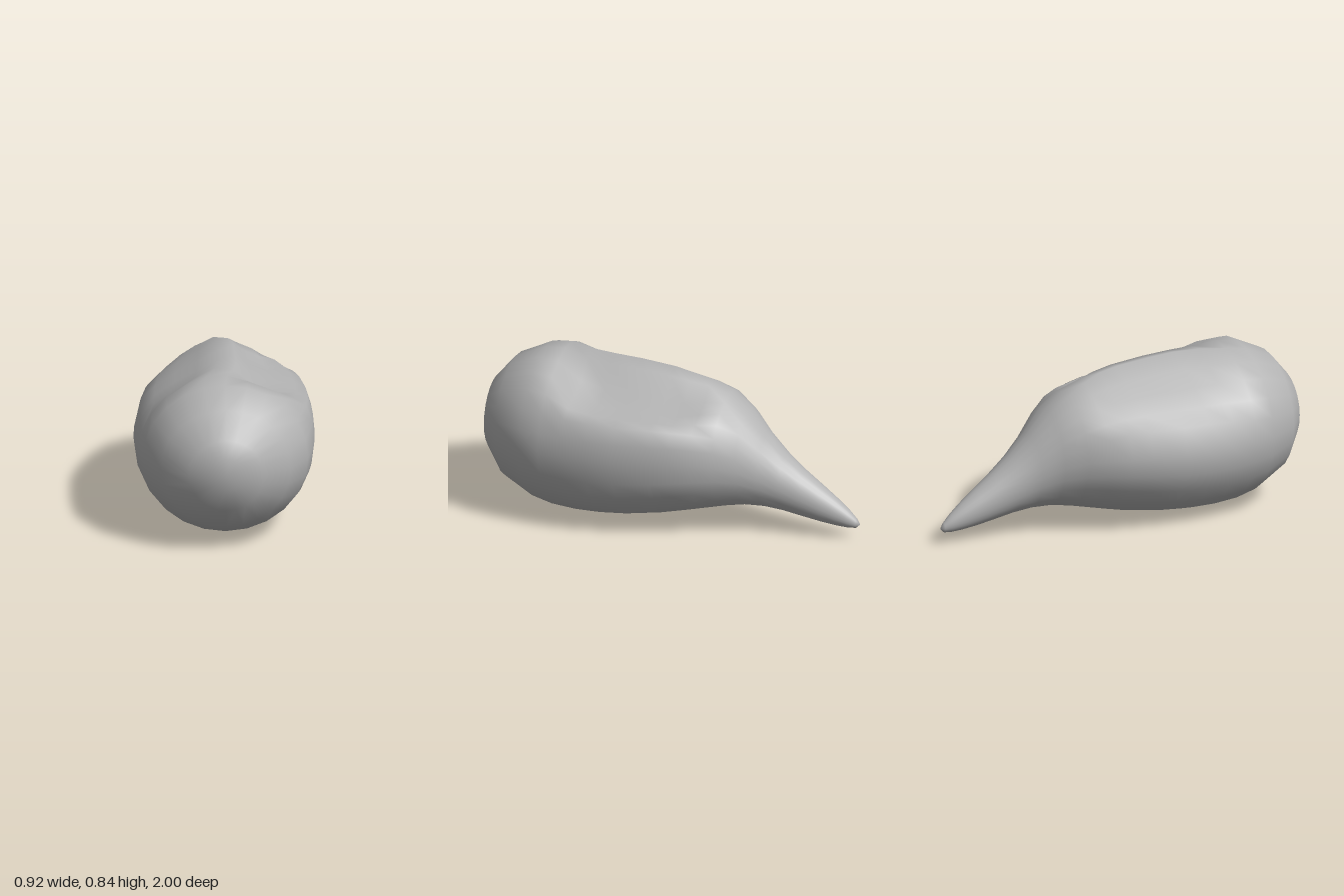
import * as THREE from 'three';

// Body stations: z, top y, bottom y, half width
const STATIONS = [
  [0.985, 0.54, 0.37, 0.08], [0.955, 0.63, 0.25, 0.19], [0.85, 0.755, 0.12, 0.33],
  [0.69, 0.83, 0.04, 0.42], [0.58, 0.845, 0.012, 0.442], [0.45, 0.838, 0.003, 0.457],
  [0.32, 0.834, 0.005, 0.46], [0.18, 0.827, 0.017, 0.453], [0.0, 0.81, 0.045, 0.42],
  [-0.1, 0.79, 0.067, 0.39], [-0.2, 0.762, 0.09, 0.35], [-0.3, 0.715, 0.112, 0.292],
  [-0.4, 0.635, 0.127, 0.225], [-0.5, 0.52, 0.127, 0.163], [-0.6, 0.42, 0.115, 0.125],
  [-0.7, 0.338, 0.095, 0.097], [-0.8, 0.265, 0.077, 0.075], [-0.88, 0.205, 0.066, 0.055],
  [-0.94, 0.155, 0.062, 0.037], [-0.98, 0.115, 0.065, 0.02],
];

// Upper half of the dented section, from the +x side over the crest to the -x side
const DENTED = [
  [1, 0.05], [0.98, 0.28], [0.92, 0.5], [0.8, 0.56], [0.55, 0.57], [0.31, 0.68], [0.13, 0.95],
  [-0.06, 1], [-0.3, 0.85], [-0.55, 0.7], [-0.77, 0.53], [-0.93, 0.36], [-1, 0],
];
const SIDES = 24;

function createBodyGeometry() {
  const positions = [];
  const index = [];
  for (const [z, top, bottom, halfWidth] of STATIONS) {
    // The dents fade out toward the rounded front and toward the tail
    const dent = THREE.MathUtils.smoothstep(z, -0.38, -0.08)
      * (1 - THREE.MathUtils.smoothstep(z, 0.36, 0.66));
    for (let i = 0; i < SIDES; i++) {
      const a = (i / SIDES) * Math.PI * 2;
      let u = Math.cos(a);
      let v = Math.sin(a);
      if (i < DENTED.length) {
        u = THREE.MathUtils.lerp(u, DENTED[i][0], dent);
        v = THREE.MathUtils.lerp(v, DENTED[i][1], dent);
      }
      positions.push(u * halfWidth, (top + bottom) / 2 + v * (top - bottom) / 2, z);
    }
  }
  // Skin between neighbouring sections
  const rows = STATIONS.length;
  for (let r = 0; r < rows - 1; r++) {
    for (let i = 0; i < SIDES; i++) {
      const j = (i + 1) % SIDES;
      const a = r * SIDES + i, b = r * SIDES + j;
      const c = a + SIDES, d = b + SIDES;
      index.push(a, c, b, b, c, d);
    }
  }
  // Closed nose and tail tip
  const nose = rows * SIDES;
  const tip = nose + 1;
  positions.push(0, 0.455, 1, 0, 0.085, -1);
  for (let i = 0; i < SIDES; i++) {
    const j = (i + 1) % SIDES;
    index.push(nose, i, j, tip, (rows - 1) * SIDES + j, (rows - 1) * SIDES + i);
  }
  const geometry = new THREE.BufferGeometry();
  geometry.setAttribute('position', new THREE.Float32BufferAttribute(positions, 3));
  geometry.setIndex(index);
  geometry.computeVertexNormals();
  return geometry;
}

export function createModel() {
  const grey = new THREE.MeshStandardMaterial({ color: 0xb4b4b4 });
  grey.name = 'plain grey';
  const body = new THREE.Mesh(createBodyGeometry(), grey);
  body.name = 'bodyWithTail';
  const model = new THREE.Group();
  model.name = 'dentedBody';
  model.add(body);
  return model;
}
